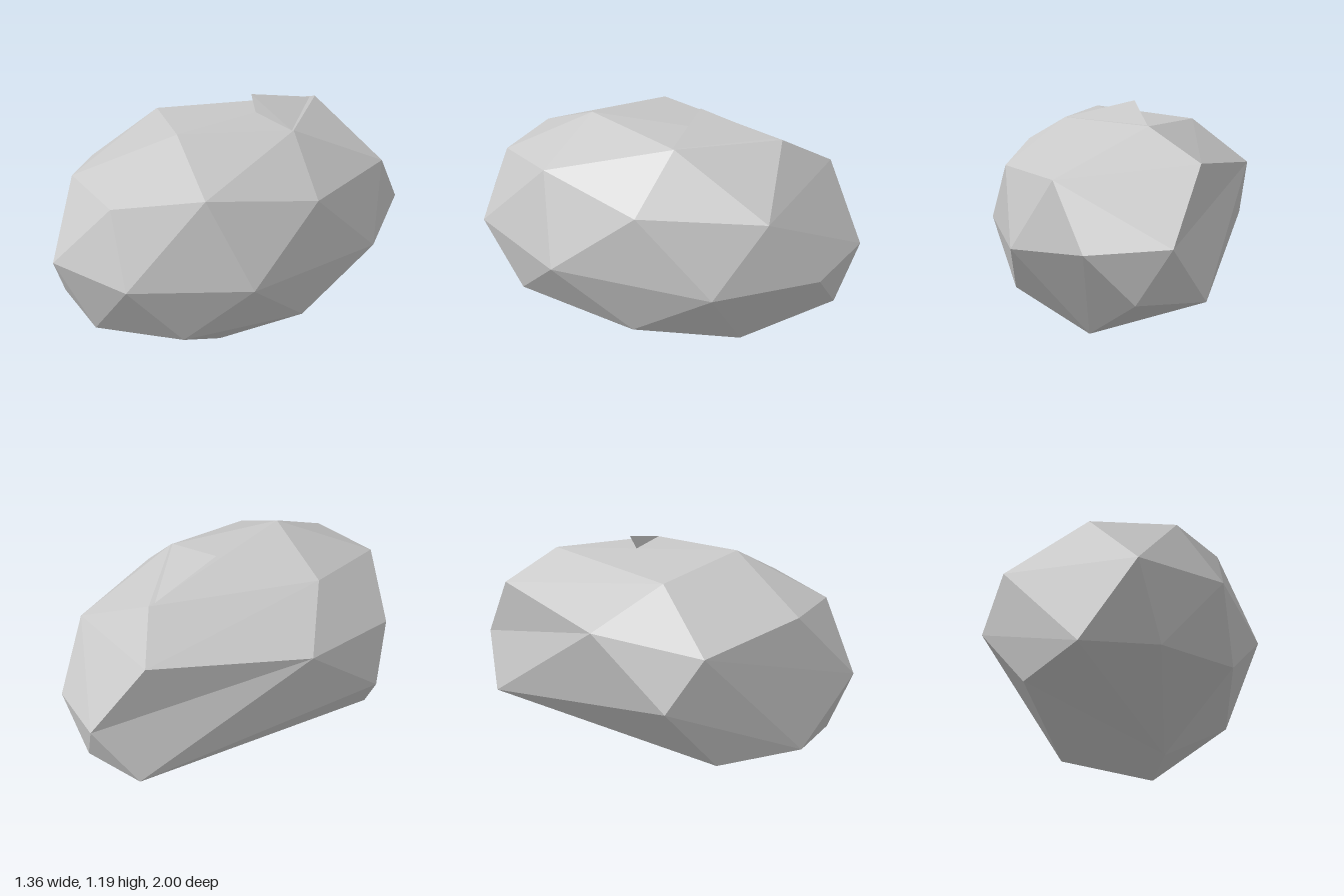
import * as THREE from 'three';
import { ConvexGeometry } from 'three/addons/geometries/ConvexGeometry.js';

const toPoints = (list) => list.map((p) => new THREE.Vector3(...p));

function fromTriangles(triangles) {
  const geometry = new THREE.BufferGeometry().setFromPoints(triangles.flat());
  geometry.computeVertexNormals();
  return geometry;
}

// Turns the edge a-b shared by two triangles to the other diagonal, making a shallow dent
function flipEdge(triangles, a, b) {
  const at = (t, p) => t.findIndex((v) => v.distanceTo(p) < 1e-4);
  const shared = triangles.filter((t) => at(t, a) >= 0 && at(t, b) >= 0);
  if (shared.length !== 2) return triangles;
  const follows = (t) => (at(t, a) + 1) % 3 === at(t, b);
  const third = (t) => t[3 - at(t, a) - at(t, b)];
  const c = third(shared.find(follows));
  const d = third(shared.find((t) => !follows(t)));
  return [...triangles.filter((t) => !shared.includes(t)), [a, d, c], [d, b, c]];
}

export function createModel() {
  const group = new THREE.Group();
  group.name = 'rock';
  const stone = new THREE.MeshStandardMaterial({ color: 0xc8c8c8, flatShading: true });
  stone.name = 'stone grey';

  const addStone = (name, triangles) => {
    const mesh = new THREE.Mesh(fromTriangles(triangles), stone);
    mesh.name = name;
    group.add(mesh);
  };

  const backLow = [-0.21, 0.325, -0.87];
  const backHigh = [-0.2, 0.935, -0.79];

  // Faceted boulder, corners listed in bands
  const corners = toPoints([
    // underside
    [0.22, 0, 0.2], [0.264, 0.1, -0.49],
    // lower band
    [-0.475, 0.235, 0.465], [-0.255, 0.287, 0.82], [0.107, 0.265, 0.86], [0.48, 0.29, 0.605],
    [0.58, 0.24, -0.04], [0.12, 0.33, -0.92], backLow,
    // middle band
    [-0.01, 0.615, 1], [0.395, 0.59, 0.855], [0.675, 0.55, 0.34], [0.63, 0.515, -0.455],
    [0.345, 0.555, -0.89], [-0.03, 0.59, -1], [-0.68, 0.55, 0.28],
    // upper band
    [-0.205, 0.93, 0.765], [0.2, 0.917, 0.8], [0.463, 0.96, 0.46], [0.625, 0.87, -0.075],
    [0.45, 0.86, -0.66], backHigh, [-0.605, 0.87, -0.12], [-0.59, 0.81, 0.437],
    // crown
    [0.1, 1.14, 0.36], [-0.38, 1.077, 0.155], [0, 1.09, -0.59], [0.335, 1.11, -0.16],
  ]);
  const hull = new ConvexGeometry(corners).getAttribute('position');
  const faces = [];
  for (let i = 0; i < hull.count; i += 3) {
    faces.push([0, 1, 2].map((k) => new THREE.Vector3().fromBufferAttribute(hull, i + k)));
  }
  addStone('boulder', flipEdge(faces, ...toPoints([backHigh, backLow])));

  // Raised chip on the crown: a sloping top and a steep front
  const [tip, side, rear, foot] = toPoints([
    [-0.01, 1.19, -0.17], [0.335, 1.11, -0.15], [0, 1.085, -0.58], [0.12, 1.0, -0.14],
  ]);
  addStone('crownChip', [[tip, side, rear], [tip, foot, side]]);

  return group;
}
